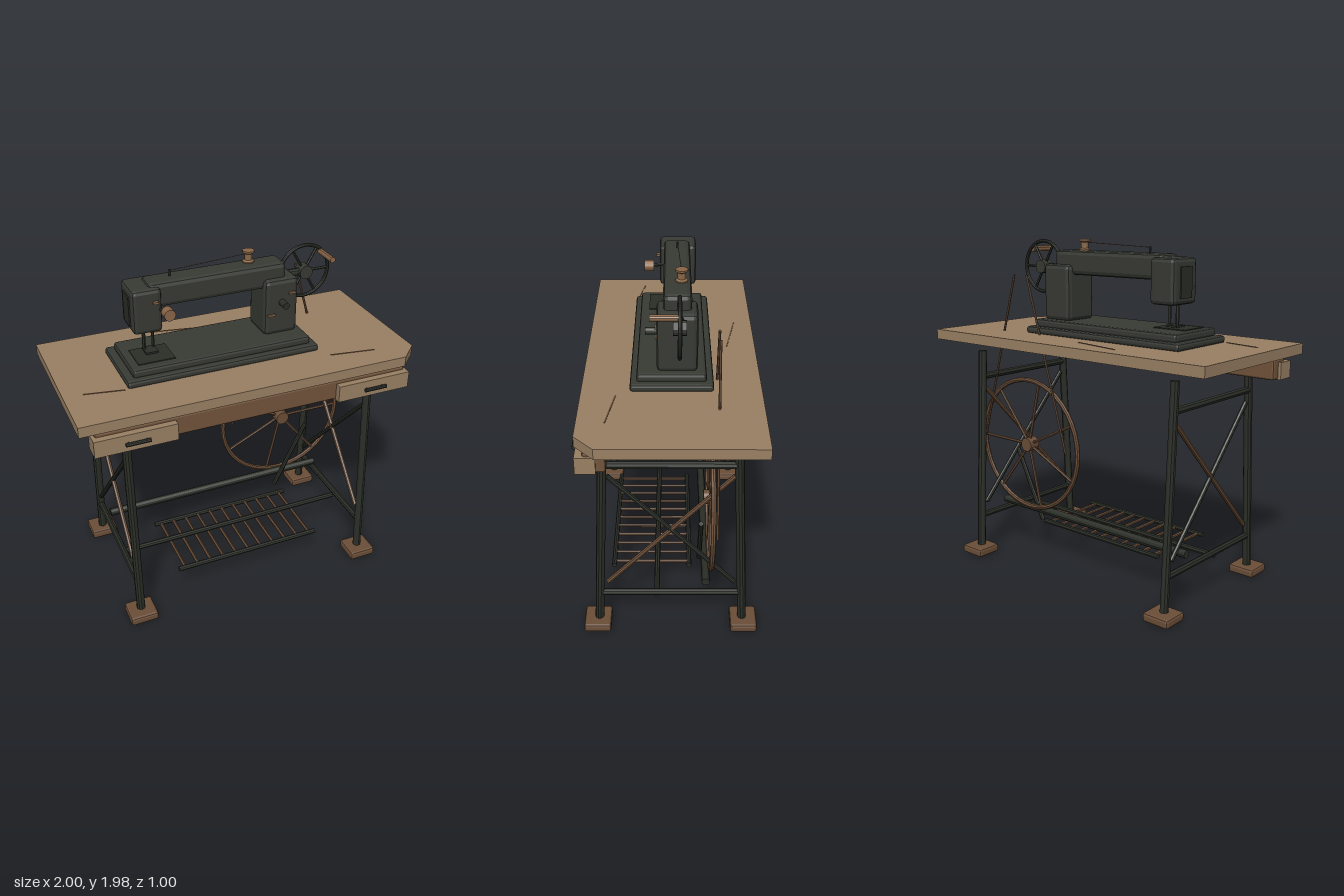
import * as THREE from 'three';
import { RoundedBoxGeometry } from 'three/addons/geometries/RoundedBoxGeometry.js';

const mat = (name, color, double) => {
  const m = new THREE.MeshStandardMaterial({ color });
  m.name = name;
  m.flatShading = true;
  if (double) m.side = THREE.DoubleSide;
  return m;
};

export function createModel() {
  const iron = mat('blackened iron', 0x2b2e27);
  const enamel = mat('machine enamel', 0x383a34);
  const tan = mat('table wood', 0x9a8064);
  const brown = mat('dark wood', 0x72543b);
  const rust = mat('rusty iron', 0x6b4e38);
  const knobWood = mat('knob wood', 0x8a6647);
  const model = new THREE.Group();
  model.name = 'treadleSewingTable';
  const V = (x, y, z) => new THREE.Vector3(x, y, z);

  const add = (name, geo, material, x = 0, y = 0, z = 0, parent = model) => {
    const mesh = new THREE.Mesh(geo, material);
    mesh.name = name;
    mesh.position.set(x, y, z);
    parent.add(mesh);
    return mesh;
  };
  // box from its limits, with an optional faceted bevel
  const box = (name, material, x0, x1, y0, y1, z0, z1, bevel = 0) => {
    const s = [x1 - x0, y1 - y0, z1 - z0];
    const geo = bevel ? new RoundedBoxGeometry(...s, 1, bevel) : new THREE.BoxGeometry(...s);
    if (bevel) geo.computeVertexNormals();
    return add(name, geo, material, (x0 + x1) / 2, (y0 + y1) / 2, (z0 + z1) / 2);
  };
  // round bar between two points
  const rod = (name, material, a, b, r, sides = 8, parent = model) => {
    const dir = b.clone().sub(a);
    const mesh = add(name, new THREE.CylinderGeometry(r, r, dir.length(), sides), material, 0, 0, 0, parent);
    mesh.position.copy(a).add(b).multiplyScalar(0.5);
    mesh.quaternion.setFromUnitVectors(V(0, 1, 0), dir.normalize());
    return mesh;
  };
  // spoked wheel facing z
  const wheel = (name, rim, hubMat, [x, y, z], R, tube, spokes, spokeR, hubR, hubZ0, hubZ1) => {
    const g = new THREE.Group();
    g.name = name;
    g.position.set(x, y, z);
    model.add(g);
    add('rim', new THREE.TorusGeometry(R, tube, 8, 40), rim, 0, 0, 0, g);
    for (let i = 0; i < spokes; i++) {
      const a = (i / spokes) * Math.PI * 2;
      rod('spoke', rim, V(0, 0, 0), V(Math.cos(a) * R, Math.sin(a) * R, 0), spokeR, 6, g);
    }
    rod('hub', hubMat, V(0, 0, hubZ0), V(0, 0, hubZ1), hubR, 14, g);
  };

  // table top with one clipped corner
  const top = new THREE.Shape([[-1, -0.475], [0.89, -0.475], [1, -0.37], [1, 0.483], [-1, 0.483]]
    .map(([x, y]) => new THREE.Vector2(x, y)));
  const topGeo = new THREE.ExtrudeGeometry(top, { depth: 0.06, bevelEnabled: false });
  topGeo.rotateX(-Math.PI / 2);
  add('tableTop', topGeo, tan, 0, 1.362, 0);
  // scratches on the table top
  for (const [x0, z0, x1, z1] of [[-0.355, -0.38, -0.04, -0.32], [-0.893, 0.17, -0.675, 0.21], [0.51, 0.29, 0.77, 0.33]]) {
    const s = add('scratch', new THREE.BoxGeometry(Math.hypot(x1 - x0, z1 - z0), 0.004, 0.007), rust,
      (x0 + x1) / 2, 1.423, (z0 + z1) / 2);
    s.rotation.y = -Math.atan2(z1 - z0, x1 - x0);
  }

  // apron, drawers and pulls
  box('apron', brown, -0.912, 0.912, 1.22, 1.34, 0.32, 0.437, 0.012);
  for (const s of [-1, 1]) {
    const [x0, x1] = s < 0 ? [-0.93, -0.477] : [0.475, 0.925];
    box('drawer', tan, x0, x1, 1.22, 1.318, 0.37, 0.475);
    rod('drawerPull', iron, V(s * 0.7 - 0.067, 1.27, 0.492), V(s * 0.7 + 0.067, 1.27, 0.492), 0.011);
    for (const d of [-0.05, 0.05]) rod('pullPost', iron, V(s * 0.7 + d, 1.27, 0.47), V(s * 0.7 + d, 1.27, 0.492), 0.006, 6);
  }

  // side frames
  for (const sx of [-1, 1]) {
    const x = sx * 0.732;
    for (const sz of [-1, 1]) {
      box('foot', rust, x - 0.083, x + 0.083, 0.003, 0.054, sz * 0.422 - 0.078, sz * 0.422 + 0.078, 0.014);
      rod('leg', iron, V(x, 0.04, sz * 0.415), V(x, 1.3, sz * 0.35), 0.025, 10);
    }
    rod('upperSideBar', iron, V(x, 1.14, 0.355), V(x, 1.14, -0.355), 0.021);
    rod('lowerSideBar', iron, V(x, 0.245, 0.4), V(x, 0.245, -0.4), 0.019);
    rod('crossBrace', iron, V(x, 1.07, 0.335), V(x, 0.325, -0.36), 0.014);
    rod('rustyCrossBrace', rust, V(x, 0.325, 0.355), V(x, 1.07, -0.34), 0.014);
  }

  // long stretchers and treadle
  rod('rearStretcher', iron, V(-0.72, 0.307, -0.2), V(0.72, 0.307, -0.2), 0.024, 10);
  rod('treadleAxle', iron, V(-0.72, 0.213, 0.08), V(0.72, 0.213, 0.08), 0.016);
  for (const z of [0.34, -0.11]) rod('treadleRail', iron, V(-0.46, 0.192, z), V(0.455, 0.192, z), 0.015);
  for (let i = 0; i < 11; i++) {
    const x = -0.42 + i * 0.0835;
    rod('treadleSlat', rust, V(x, 0.192, 0.34), V(x, 0.192, -0.11), 0.01, 6);
  }
  rod('pitmanRod', iron, V(0.415, 0.225, -0.17), V(0.628, 0.66, -0.17), 0.014);

  // drive wheel and belt
  wheel('driveWheel', rust, rust, [0.467, 0.725, -0.225], 0.405, 0.015, 7, 0.009, 0.043, -0.03, 0.04);
  rod('beltLeft', rust, V(0.135, 0.725, -0.25), V(0.435, 1.765, -0.25), 0.007, 6);
  rod('beltRight', rust, V(0.84, 0.725, -0.25), V(0.54, 1.765, -0.25), 0.007, 6);

  // machine bed and body
  box('bedLower', enamel, -0.66, 0.472, 1.42, 1.462, -0.228, 0.217, 0.015);
  box('bedUpper', enamel, -0.617, 0.433, 1.455, 1.505, -0.19, 0.182, 0.015);
  box('pillar', enamel, 0.195, 0.4, 1.5, 1.83, -0.143, 0.075, 0.025);
  box('arm', enamel, -0.465, 0.338, 1.772, 1.912, -0.11, 0.04, 0.025);
  box('head', enamel, -0.565, -0.4, 1.645, 1.895, -0.147, 0.065, 0.022);
  box('facePlate', iron, -0.572, -0.564, 1.68, 1.85, -0.09, 0.01);

  // needle and presser foot
  box('needlePlate', iron, -0.57, -0.36, 1.503, 1.51, -0.05, 0.13);
  rod('needleBar', iron, V(-0.44, 1.66, -0.01), V(-0.44, 1.53, -0.01), 0.008, 6);
  rod('presserBar', iron, V(-0.492, 1.66, -0.01), V(-0.492, 1.52, -0.01), 0.01, 6);
  box('presserFoot', iron, -0.5, -0.43, 1.515, 1.525, -0.03, 0.05);

  // knobs and screws
  rod('tensionKnob', knobWood, V(-0.39, 1.775, 0.1), V(-0.39, 1.775, 0.155), 0.032, 14);
  rod('tensionStem', iron, V(-0.415, 1.775, 0.04), V(-0.395, 1.775, 0.11), 0.01);
  rod('stitchKnob', iron, V(0.298, 1.695, 0.06), V(0.298, 1.695, 0.135), 0.02, 12);
  for (const [x, y, w] of [[-0.44, 1.823, 0.03], [0.235, 1.625, 0.045], [0.358, 1.745, 0.04]])
    box('brassTab', knobWood, x - w / 2, x + w / 2, y - 0.006, y + 0.006, 0.06, 0.084);

  // hand wheel with crank
  wheel('handWheel', iron, enamel, [0.49, 1.807, -0.045], 0.153, 0.011, 6, 0.008, 0.04, -0.035, 0.035);
  rod('handWheelShaft', iron, V(0.3, 1.807, -0.045), V(0.49, 1.807, -0.045), 0.022, 10);
  rod('crankHandle', knobWood, V(0.59, 1.91, -0.045), V(0.59, 1.91, 0.105), 0.017, 10);

  // spool, thread guide and thread
  const spool = [[0, 0], [0.034, 0], [0.034, 0.01], [0.022, 0.018], [0.022, 0.052], [0.034, 0.06], [0.034, 0.07], [0, 0.07]]
    .map(([x, y]) => new THREE.Vector2(x, y));
  add('spool', new THREE.LatheGeometry(spool, 12), knobWood, 0.147, 1.908, -0.057);
  rod('threadGuide', iron, V(-0.32, 1.9, -0.038), V(-0.32, 1.948, -0.038), 0.006, 6);
  rod('thread', rust, V(-0.32, 1.943, -0.038), V(0.13, 1.96, -0.057), 0.002, 5);

  return model;
}
